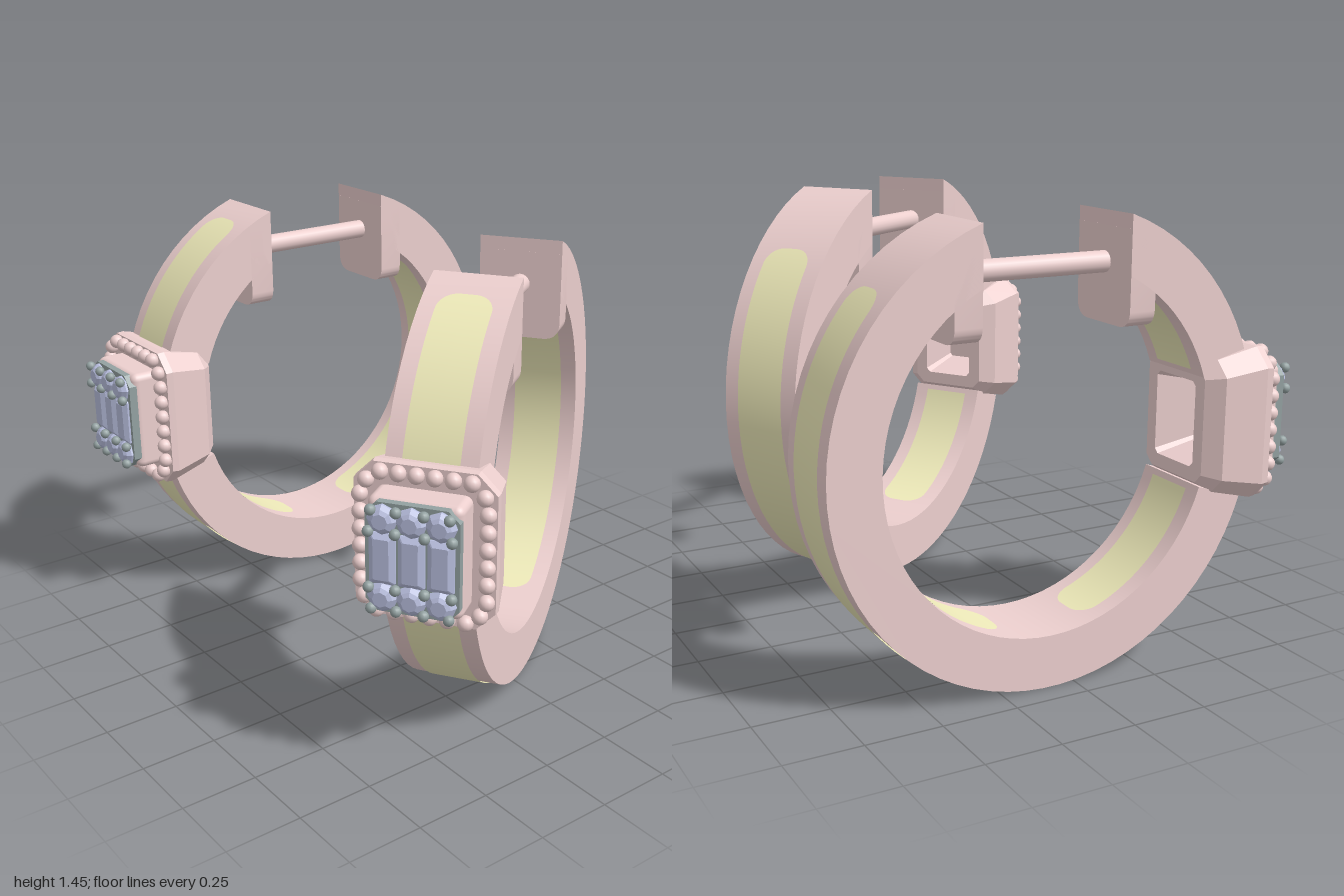
import * as THREE from 'three';
import { toCreasedNormals } from 'three/addons/utils/BufferGeometryUtils.js';
import { RoundedBoxGeometry } from 'three/addons/geometries/RoundedBoxGeometry.js';

const rose = new THREE.MeshStandardMaterial({ color: 0xeccfce });
const roseFlat = new THREE.MeshStandardMaterial({ color: 0xeccfce, flatShading: true });
const enamel = new THREE.MeshStandardMaterial({ color: 0xefebba, side: THREE.DoubleSide });
const stone = new THREE.MeshStandardMaterial({ color: 0xb9bfdf, flatShading: true });
const steel = new THREE.MeshStandardMaterial({ color: 0x93a1a1 });

const W = 0.285;                       // hoop width
const CY = 0.745, CZ = -0.085;         // hoop centre
const OUT = [0.735, 0.745], INN = [0.565, 0.575]; // radii in z and y
const HEAD_Y = 0.76;
const rad = THREE.MathUtils.degToRad;

// point on the hoop; the angle runs from the top towards the front
function hoopPoint([rz, ry], deg, grow = 0) {
  const a = rad(deg);
  return new THREE.Vector2(CZ + (rz + grow) * Math.sin(a), CY + (ry + grow) * Math.cos(a));
}

function add(parent, name, geometry, material, x = 0, y = 0, z = 0) {
  const mesh = new THREE.Mesh(geometry, material);
  mesh.name = name;
  mesh.position.set(x, y, z);
  parent.add(mesh);
  return mesh;
}

// solid piece of the hoop, with separate end angles outside and inside
function hoopArc(o0, o1, i0, i1) {
  const n = Math.ceil((o1 - o0) / 5), pts = [];
  for (let i = 0; i <= n; i++) pts.push(hoopPoint(OUT, o0 + (o1 - o0) * i / n));
  for (let i = n; i >= 0; i--) pts.push(hoopPoint(INN, i0 + (i1 - i0) * i / n));
  const g = new THREE.ExtrudeGeometry(new THREE.Shape(pts), { depth: W, bevelEnabled: false });
  g.translate(0, 0, -W / 2).rotateY(-Math.PI / 2);
  return toCreasedNormals(g, 0.5);
}

// curved strip with optional rounded corners at its ends
function inlay(radii, grow, a0, a1, round0, round1) {
  const g = new THREE.PlaneGeometry(1, 1, 2, 48), p = g.attributes.position;
  const r = 0.065, half = 0.088, length = rad(a1 - a0) * radii[0];
  for (let i = 0; i < p.count; i++) {
    const t = 0.5 - 0.5 * Math.cos(Math.PI * (p.getY(i) + 0.5));
    const d = Math.min(round0 ? t * length : r, round1 ? (1 - t) * length : r, r);
    const hw = half - r + Math.sqrt(Math.max(0, r * r - (r - d) ** 2));
    const q = hoopPoint(radii, a0 + (a1 - a0) * t, grow);
    p.setXYZ(i, p.getX(i) * 2 * hw, q.y, q.x);
  }
  g.computeVertexNormals();
  return g;
}

// octagon with half width, half height and corner cut, counter-clockwise
function octagon(w, h, c) {
  return [[w, -h + c], [w, h - c], [w - c, h], [-w + c, h],
    [-w, h - c], [-w, -h + c], [-w + c, -h], [w - c, -h]];
}

// skin through octagons given as [z, halfWidth, halfHeight, cut]
function loft(sections) {
  const pos = [];
  const rings = sections.map(([z, w, h, c]) => octagon(w, h, c).map(([x, y]) => [x, y, z]));
  for (let s = 0; s + 1 < rings.length; s++) {
    for (let i = 0; i < 8; i++) {
      const j = (i + 1) % 8, a = rings[s], b = rings[s + 1];
      pos.push(...a[i], ...a[j], ...b[j], ...a[i], ...b[j], ...b[i]);
    }
  }
  const g = new THREE.BufferGeometry();
  g.setAttribute('position', new THREE.Float32BufferAttribute(pos, 3));
  g.computeVertexNormals();
  return g;
}

// clasp lug with rounded lower corners
function lugGeometry() {
  const w = W / 2, r = 0.06, s = new THREE.Shape();
  s.moveTo(-w, 1.40);
  s.lineTo(-w, 1.10 + r);
  s.quadraticCurveTo(-w, 1.10, -w + r, 1.10);
  s.lineTo(w - r, 1.10);
  s.quadraticCurveTo(w, 1.10, w, 1.10 + r);
  s.lineTo(w, 1.40);
  return toCreasedNormals(new THREE.ExtrudeGeometry(s, { depth: 0.09, bevelEnabled: false }), 0.5);
}

function makeHead() {
  const head = new THREE.Group();
  head.name = 'gemHead';
  head.position.y = HEAD_Y;

  // flared housing, hollow at the back
  add(head, 'housing', loft([
    [0.655, 0.03, 0.03, 0.004], [0.62, 0.03, 0.03, 0.004], [0.62, 0.08, 0.10, 0.01],
    [0.455, 0.10, 0.14, 0.015], [0.455, 0.145, 0.185, 0.03], [0.50, 0.195, 0.215, 0.05],
    [0.64, 0.22, 0.248, 0.06], [0.665, 0.218, 0.246, 0.06], [0.665, 0, 0, 0],
  ]), roseFlat);
  add(head, 'stoneBack', new THREE.BoxGeometry(0.08, 0.08, 0.01), stone, 0, 0, 0.657);

  // beads around the front edge
  const outline = new THREE.CurvePath();
  const corners = octagon(0.194, 0.223, 0.05).map(([x, y]) => new THREE.Vector3(x, y, 0.68));
  corners.forEach((c, i) => outline.add(new THREE.LineCurve3(c, corners[(i + 1) % 8])));
  const bead = new THREE.SphereGeometry(0.025, 14, 10);
  for (let i = 0; i < 28; i++) {
    const p = outline.getPointAt((i + 0.5) / 28);
    add(head, 'haloBead', bead, rose, p.x, p.y, p.z);
  }

  // raised seat and tray
  add(head, 'gemSeat', new RoundedBoxGeometry(0.29, 0.355, 0.12, 3, 0.025), rose, 0, 0, 0.70);
  add(head, 'gemTray', loft([
    [0.74, 0.142, 0.172, 0.035], [0.775, 0.142, 0.172, 0.035], [0.775, 0, 0, 0],
  ]), steel);

  // three step-cut stones between two rows of round stones
  const baguette = loft([[0, 0.040, 0.080, 0.004], [0.012, 0.040, 0.080, 0.004],
    [0.025, 0.024, 0.064, 0.003], [0.025, 0, 0, 0]]);
  const round = new THREE.LatheGeometry(
    [[0.047, 0], [0.047, 0.012], [0.036, 0.026], [0.024, 0.034], [0, 0.034]]
      .map(([x, y]) => new THREE.Vector2(x, y)), 8).rotateX(Math.PI / 2);
  const prong = new THREE.SphereGeometry(0.017, 12, 8);
  for (const x of [-0.088, 0, 0.088]) {
    add(head, 'baguetteStone', baguette, stone, x, 0, 0.77);
    for (const s of [-1, 1]) add(head, 'roundStone', round, stone, x, s * 0.122, 0.77);
  }
  for (const s of [-1, 1]) {
    for (const x of [-0.125, -0.044, 0.044, 0.125]) {
      add(head, 'prong', prong, steel, x, s * 0.088, 0.797);
      add(head, 'prong', prong, steel, x * 0.94, s * 0.155, 0.797);
    }
  }
  return head;
}

function makeEarring() {
  const earring = new THREE.Group();
  earring.name = 'hoopEarring';

  // hoop, interrupted by the clasp gap and the head
  add(earring, 'frontUpperHoop', hoopArc(19.9, 72, 26.3, 72), rose);
  add(earring, 'mainHoop', hoopArc(108, 340.1, 108, 333.7), rose);

  // enamel strips outside and inside: start, end, rounded start, rounded end
  for (const s of [[28, 72, 1, 0], [110, 167, 0, 1], [193, 314, 1, 1]])
    add(earring, 'outerInlay', inlay(OUT, 0.004, ...s), enamel);
  for (const s of [[38, 70, 1, 0], [110, 166, 0, 1], [194, 318, 1, 1]])
    add(earring, 'innerInlay', inlay(INN, -0.004, ...s), enamel);

  // clasp
  const lug = lugGeometry();
  add(earring, 'frontLug', lug, rose, 0, 0, 0.165);
  add(earring, 'backLug', lug, rose, 0, 0, -0.425);
  const pin = add(earring, 'claspPin', new THREE.CylinderGeometry(0.034, 0.034, 0.53, 20), rose, 0, 1.288, CZ);
  pin.rotation.x = Math.PI / 2;

  earring.add(makeHead());
  return earring;
}

export function createModel() {
  const model = new THREE.Group();
  model.name = 'earringPair';
  const straight = makeEarring();
  straight.position.x = -0.78;
  const turned = makeEarring();
  turned.position.x = 0.41;
  turned.rotation.y = rad(33);
  model.add(straight, turned);
  return model;
}
